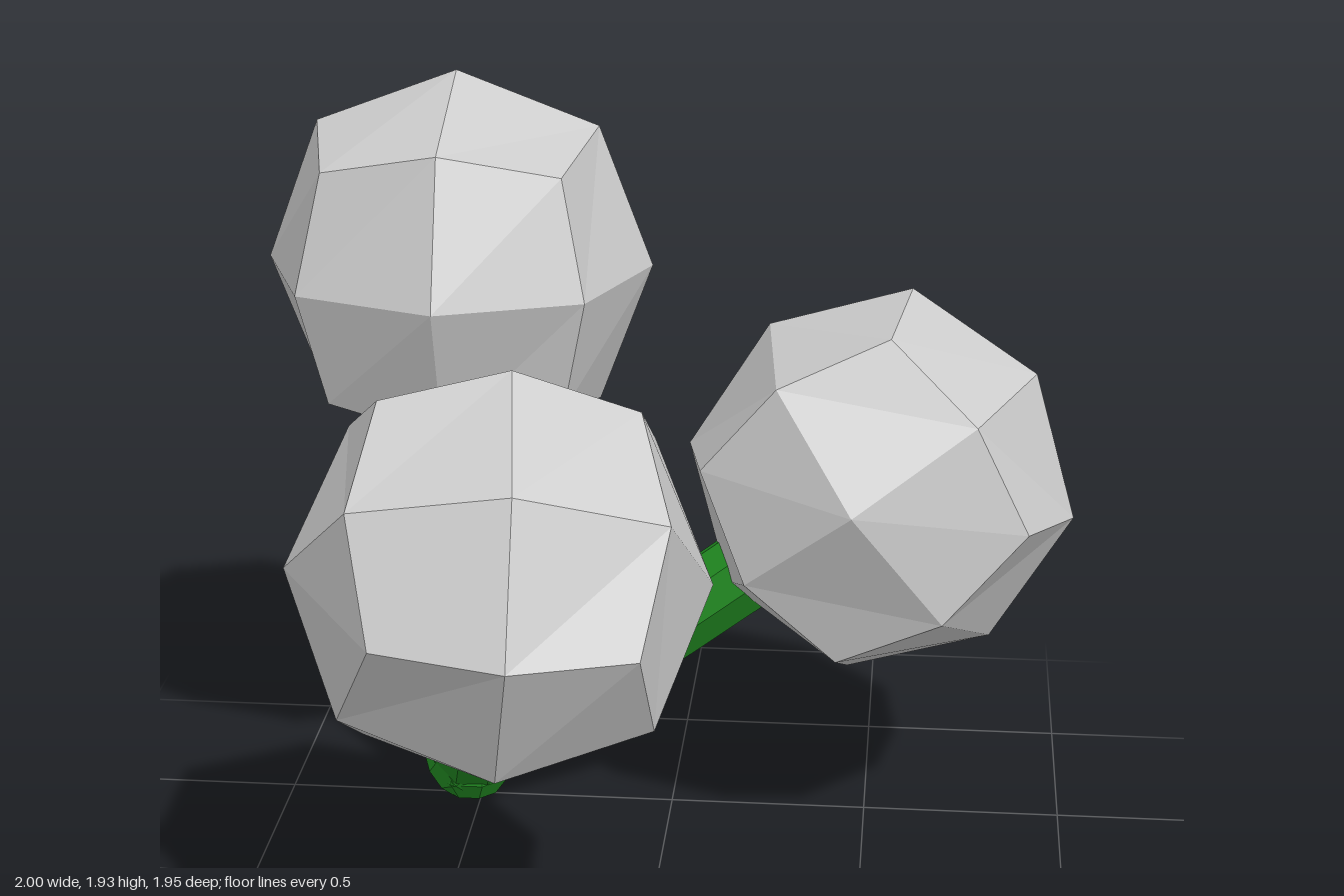
import * as THREE from 'three';

const STEM_RADIUS = 0.106;
const BASE = new THREE.Vector3(-0.525, 0.1, -0.492);

// Faceted ball: a cube split 2x2 per face, each vertex pushed out by its kind
function ballGeometry() {
  const geometry = new THREE.BoxGeometry(2, 2, 2, 2, 2, 2);
  const p = geometry.attributes.position;
  const reach = { 1: 0.475, 2: 0.345, 3: 0.286 }; // face centre, edge middle, corner
  for (let i = 0; i < p.count; i++) {
    const v = new THREE.Vector3().fromBufferAttribute(p, i).round();
    const kind = Math.abs(v.x) + Math.abs(v.y) + Math.abs(v.z);
    v.multiplyScalar(reach[kind]);
    p.setXYZ(i, v.x, v.y, v.z);
  }
  geometry.computeVertexNormals();
  return geometry;
}

// Eight-sided stem with chamfered ends, running up from its origin
function stemGeometry(length) {
  const r = STEM_RADIUS;
  const profile = [
    [0, -0.1], [0.07, -0.1], [r, -0.05],
    [r, length - 0.05], [0.07, length], [0, length],
  ].map(([x, y]) => new THREE.Vector2(x, y));
  return new THREE.LatheGeometry(profile, 8, Math.PI / 8);
}

export function createModel() {
  const group = new THREE.Group();
  group.name = 'berryCluster';
  const ballMaterial = new THREE.MeshStandardMaterial({ color: 0xcccccc, flatShading: true });
  const stemMaterial = new THREE.MeshStandardMaterial({ color: 0x228b22, flatShading: true });
  const ballShape = ballGeometry();

  // Each sprig: ball centre and twist about its own stem
  const sprigs = [
    { name: 'upright', centre: [-0.525, 1.435, -0.5], twist: 0 },
    { name: 'front', centre: [-0.3, 1.005, 0.49], twist: 0.13 },
    { name: 'left', centre: [0.518, 0.9, -0.483], twist: -0.195 },
  ];
  const up = new THREE.Vector3(0, 1, 0);

  for (const { name, centre, twist } of sprigs) {
    const sprig = new THREE.Group();
    sprig.name = `${name}Sprig`;
    const direction = new THREE.Vector3(...centre).sub(BASE);
    const length = direction.length();
    sprig.position.copy(BASE);
    sprig.quaternion.setFromUnitVectors(up, direction.normalize());
    sprig.rotateY(twist);

    const stem = new THREE.Mesh(stemGeometry(length - 0.25), stemMaterial);
    stem.name = `${name}Stem`;
    const ball = new THREE.Mesh(ballShape, ballMaterial);
    ball.name = `${name}Ball`;
    ball.position.y = length;
    sprig.add(stem, ball);
    group.add(sprig);
  }
  return group;
}
